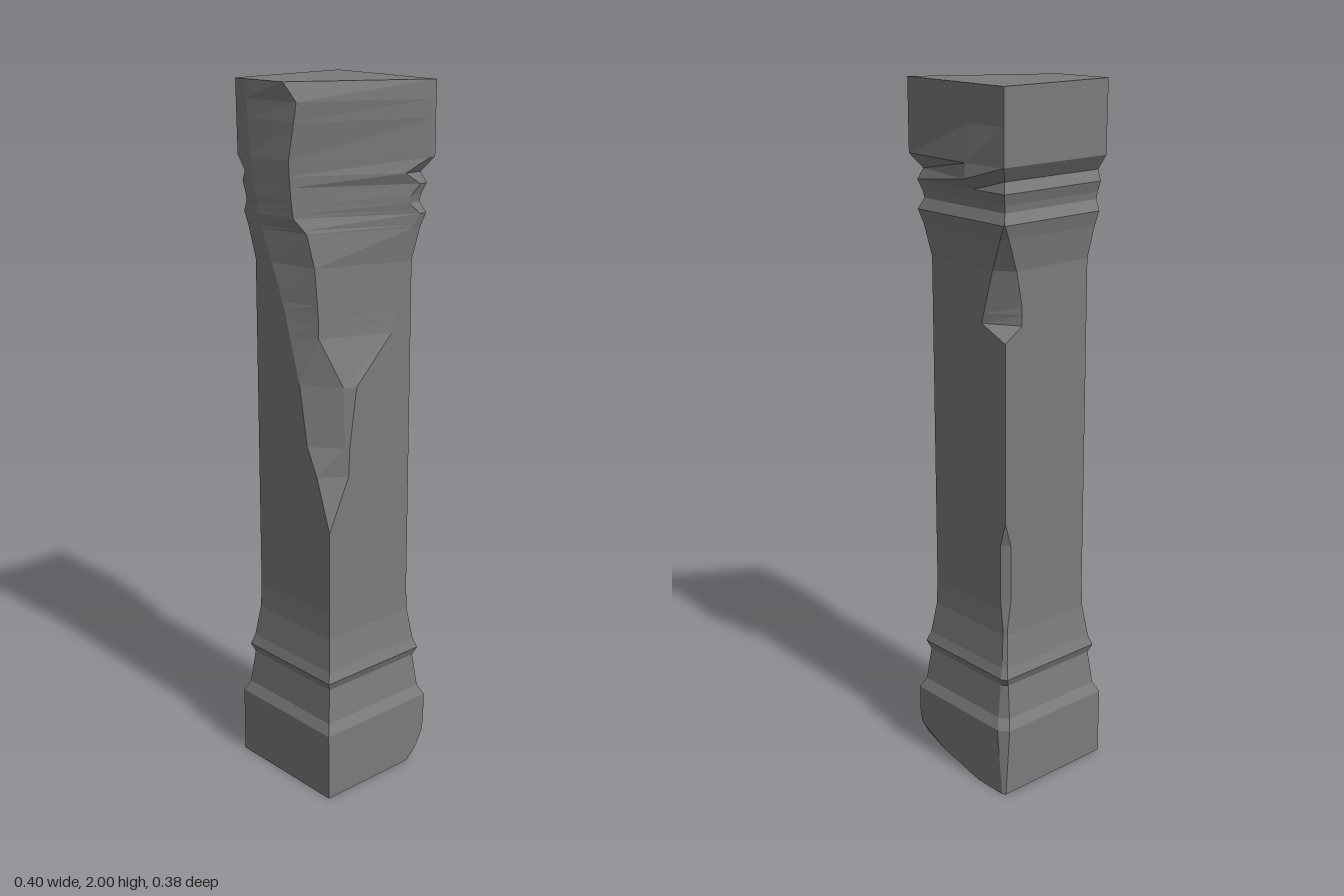
import * as THREE from 'three';

// Piecewise-linear lookup: rows are [y, v1, v2, ...]
function sample(rows, y) {
  if (y <= rows[0][0]) return rows[0].slice(1);
  for (let i = 1; i < rows.length; i++) {
    const p = rows[i - 1], q = rows[i];
    if (y <= q[0]) {
      const t = (y - p[0]) / (q[0] - p[0]);
      return p.slice(1).map((v, k) => v + (q[k + 1] - v) * t);
    }
  }
  return rows[rows.length - 1].slice(1);
}

const AXIS_X = -0.009;

// Half width of the square pillar by height
const profile = [
  [0, 0.191], [0.2, 0.191], [0.23, 0.176], [0.33, 0.165], [0.355, 0.175], [0.385, 0.165], [0.48, 0.152],
  [0.55, 0.15], [1.52, 0.15], [1.61, 0.165], [1.65, 0.176], [1.68, 0.163], [1.7, 0.166], [1.73, 0.176],
  [1.76, 0.164], [1.8, 0.191], [2, 0.191],
];

// Large break on the front corner: side point x,z, middle point x,z, front point x
const breakage = [
  [0.8, -0.159, 0.15, -0.159, 0.15, -0.159],
  [0.95, -0.16, 0.10, -0.09, 0.148, -0.088],
  [1.03, -0.16, 0.06, -0.095, 0.143, -0.085],
  [1.2, -0.16, 0.03, -0.09, 0.13, -0.06],
  [1.33, -0.16, -0.01, -0.128, 0.073, 0.07],
  [1.4, -0.16, -0.03, -0.127, 0.07, 0.09],
  [1.52, -0.16, -0.08, -0.13, 0.06, 0.11],
  [1.61, -0.17, -0.11, -0.14, 0.04, 0.125],
  [1.65, -0.175, -0.12, -0.16, 0.01, 0.145],
  [1.68, -0.175, -0.12, -0.162, 0.007, 0.115],
  [1.7, -0.176, -0.12, -0.163, 0.005, 0.12],
  [1.73, -0.177, -0.13, -0.164, 0.003, 0.143],
  [1.76, -0.178, -0.13, -0.165, 0.001, 0.10],
  [1.8, -0.18, -0.14, -0.166, 0, 0.165],
  [1.95, -0.183, -0.15, -0.155, 0.02, 0.17],
  [2, -0.184, -0.15, -0.17, -0.015, 0.182],
];

// Corner chips: length cut along x and along z
const frontChip = [[0, 0.07, 0.27], [0.035, 0.03, 0.11], [0.08, 0.006, 0.015], [0.12, 0, 0]];
const backChip = [
  [0, 0.006, 0.01], [0.2, 0.02, 0.03], [0.4, 0.008, 0.012], [0.5, 0.008, 0.01], [0.58, 0.02, 0.02],
  [0.75, 0.02, 0.02], [0.82, 0, 0], [1.33, 0, 0], [1.37, 0.06, 0.095], [1.42, 0.06, 0.08],
  [1.52, 0.04, 0.05], [1.62, 0.012, 0.014], [1.66, 0, 0],
];
// Bulge under the cap and worn back edge
const bulge = [[1.73, 0], [1.76, 0.044], [1.8, 0.01], [1.9, 0]];
const wornEdge = [[1.52, -0.159], [1.65, -0.175], [1.8, -0.182], [2, -0.185]];

// Nine-point cross-section at height y
function section(y) {
  const [h] = sample(profile, y);
  const right = AXIS_X + h, left = AXIS_X - h;
  const [fx, fz] = sample(frontChip, y);
  const [kx, kz] = sample(backChip, y);
  const backLeftX = y > 1.52 ? sample(wornEdge, y)[0] : left;
  let [ax, az, mx, mz, bx] = sample(breakage, y);
  if (y <= 0.8) [ax, az, mx, mz, bx] = [left, h, left, h, left];
  return [
    [ax, az], [mx, mz], [bx, h],
    [right - fx, h], [right, h - fz],
    [right + sample(bulge, y)[0], -0.055 - 0.03 * Math.max(0, 1 - y / 0.035)],
    [right, -h + kz], [right - kx, -h],
    [backLeftX, -h],
  ].map(([x, z]) => new THREE.Vector3(x, y, z));
}

function loft(rings) {
  const pos = [];
  const tri = (a, b, c) => {
    const n = b.clone().sub(a).cross(c.clone().sub(a));
    if (n.length() > 1e-8) for (const p of [a, b, c]) pos.push(p.x, p.y, p.z);
  };
  const n = rings[0].length, last = rings[rings.length - 1];
  for (let r = 0; r + 1 < rings.length; r++) {
    for (let i = 0; i < n; i++) {
      const j = (i + 1) % n, lo = rings[r], hi = rings[r + 1];
      tri(lo[i], lo[j], hi[j]);
      tri(lo[i], hi[j], hi[i]);
    }
  }
  // Flat ends
  const bottom = new THREE.Vector3(-0.02, rings[0][0].y, 0);
  const top = new THREE.Vector3(0.05, last[0].y, -0.06);
  for (let i = 0; i < n; i++) {
    const j = (i + 1) % n;
    tri(bottom, rings[0][j], rings[0][i]);
    tri(top, last[i], last[j]);
  }
  const geo = new THREE.BufferGeometry();
  geo.setAttribute('position', new THREE.Float32BufferAttribute(pos, 3));
  geo.computeVertexNormals();
  return geo;
}

export function createModel() {
  const group = new THREE.Group();
  group.name = 'brokenPillar';
  // Dark stone
  const material = new THREE.MeshStandardMaterial({ color: 0x7b7b7b, flatShading: true });

  // Every height where a profile or a chip changes direction
  const tables = [profile, breakage, frontChip, backChip, bulge];
  const heights = [...new Set(tables.flatMap((t) => t.map((row) => row[0])))].sort((a, b) => a - b);

  // Base, shaft and capital are carved from one block
  const pillar = new THREE.Mesh(loft(heights.map(section)), material);
  pillar.name = 'pillar';
  group.add(pillar);
  return group;
}
